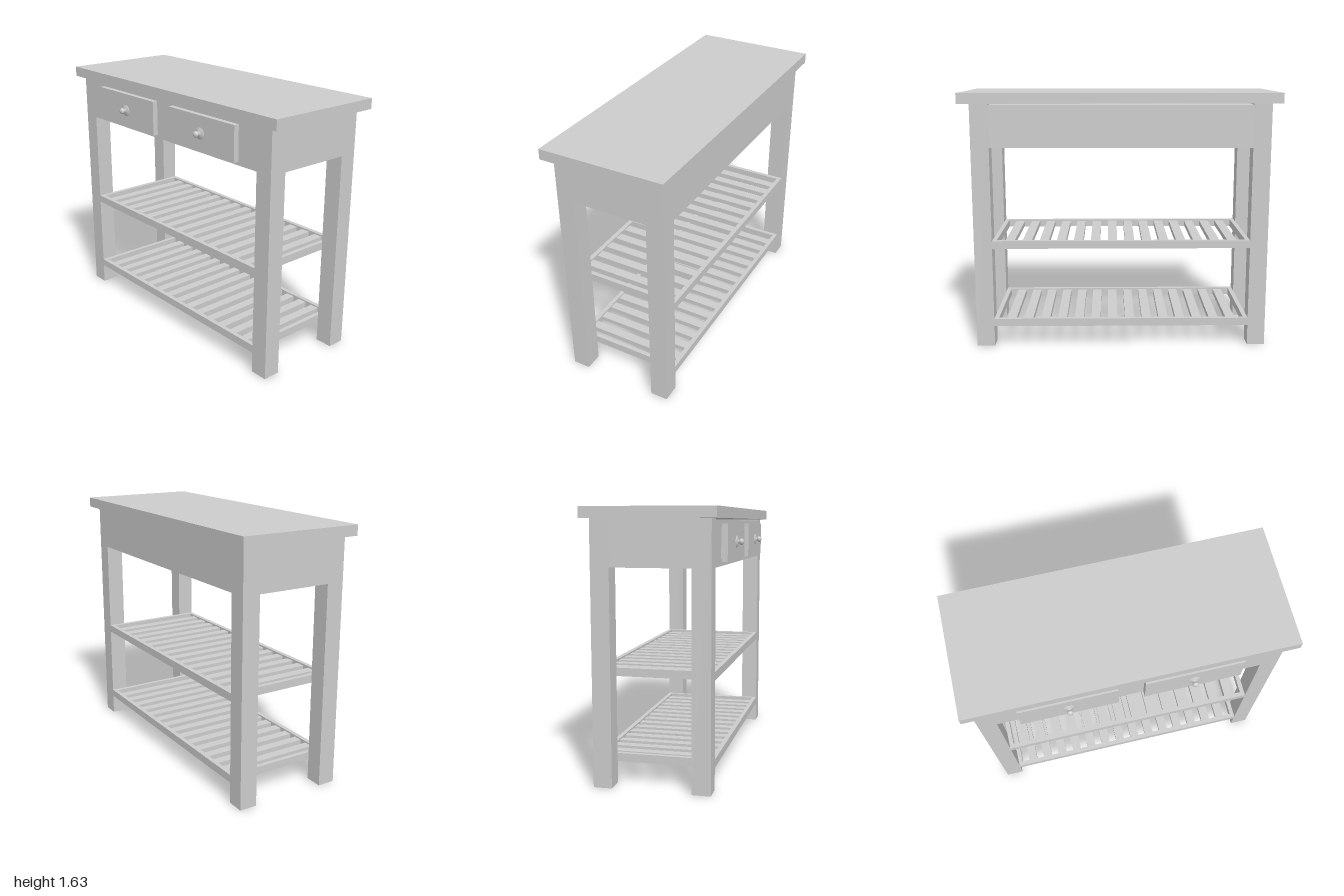
import * as THREE from 'three';

const material = new THREE.MeshStandardMaterial({ color: 0xcccccc });

// Box given by its minimum and maximum on each axis
function box(name, [x0, x1], [y0, y1], [z0, z1]) {
  const mesh = new THREE.Mesh(new THREE.BoxGeometry(x1 - x0, y1 - y0, z1 - z0), material);
  mesh.name = name;
  mesh.position.set((x0 + x1) / 2, (y0 + y1) / 2, (z0 + z1) / 2);
  return mesh;
}

const OUTER = [-0.94, 0.93]; // outer faces of the legs
const INNER = [-0.828, 0.816]; // inner faces of the legs
const BACK = -0.372, FRONT = 0.33;
const LEG_BACK = -0.26, LEG_FRONT = 0.218;
const APRON = 1.29, UNDER_TOP = 1.565;

// Slatted shelf: four rails around a row of slats running front to back
function shelf(name, bottom) {
  const group = new THREE.Group();
  group.name = name;
  const rail = 0.028, y = [bottom, bottom + 0.05];
  group.add(
    box('frontRail', INNER, y, [FRONT - rail, FRONT]),
    box('backRail', INNER, y, [BACK, BACK + rail]),
    box('rightRail', [INNER[0], INNER[0] + rail], y, [BACK + rail, FRONT - rail]),
    box('leftRail', [INNER[1] - rail, INNER[1]], y, [BACK + rail, FRONT - rail])
  );
  const count = 14, width = 0.06;
  const start = INNER[0] + rail, span = INNER[1] - INNER[0] - 2 * rail;
  const gap = (span - count * width) / (count + 1);
  for (let i = 0; i < count; i++) {
    const x = start + gap + i * (width + gap);
    group.add(box('slat', [x, x + width], [bottom + 0.008, bottom + 0.04], [BACK + rail, FRONT - rail]));
  }
  return group;
}

// Turned knob with a flared base and a rounded head, pointing forwards
function knob(x) {
  const profile = [
    [0.037, 0], [0.036, 0.004], [0.02, 0.008], [0.011, 0.013], [0.01, 0.018],
    [0.017, 0.022], [0.02, 0.028], [0.019, 0.036], [0.013, 0.043], [0, 0.046]
  ].map(([r, h]) => new THREE.Vector2(r, h));
  const mesh = new THREE.Mesh(new THREE.LatheGeometry(profile, 32), material);
  mesh.name = 'knob';
  mesh.rotation.x = Math.PI / 2;
  mesh.position.set(x, 1.425, 0.372);
  return mesh;
}

function drawer(name, x0, x1) {
  const group = new THREE.Group();
  group.name = name;
  group.add(
    box('drawerBacking', [x0 + 0.02, x1 - 0.02], [1.335, 1.515], [FRONT - 0.01, 0.338]),
    box('drawerFront', [x0, x1], [1.315, 1.535], [0.338, 0.372]),
    knob((x0 + x1) / 2)
  );
  return group;
}

export function createModel() {
  const model = new THREE.Group();
  model.name = 'consoleTable';

  model.add(box('tableTop', [-1, 1], [UNDER_TOP, 1.63], [-0.415, 0.37]));

  // Legs, joined at each end by a flush side panel
  for (const [side, x] of [['right', [OUTER[0], INNER[0]]], ['left', [INNER[1], OUTER[1]]]]) {
    model.add(
      box(side + 'FrontLeg', x, [0, UNDER_TOP], [LEG_FRONT, FRONT]),
      box(side + 'BackLeg', x, [0, UNDER_TOP], [BACK, LEG_BACK]),
      box(side + 'Panel', x, [APRON, UNDER_TOP], [LEG_BACK, LEG_FRONT])
    );
  }

  // Drawer case, a little short of the top
  model.add(box('drawerCase', INNER, [APRON, 1.555], [BACK, FRONT]));
  model.add(drawer('rightDrawer', -0.686, -0.087), drawer('leftDrawer', 0.073, 0.674));

  model.add(shelf('upperShelf', 0.648), shelf('lowerShelf', 0.132));
  return model;
}
